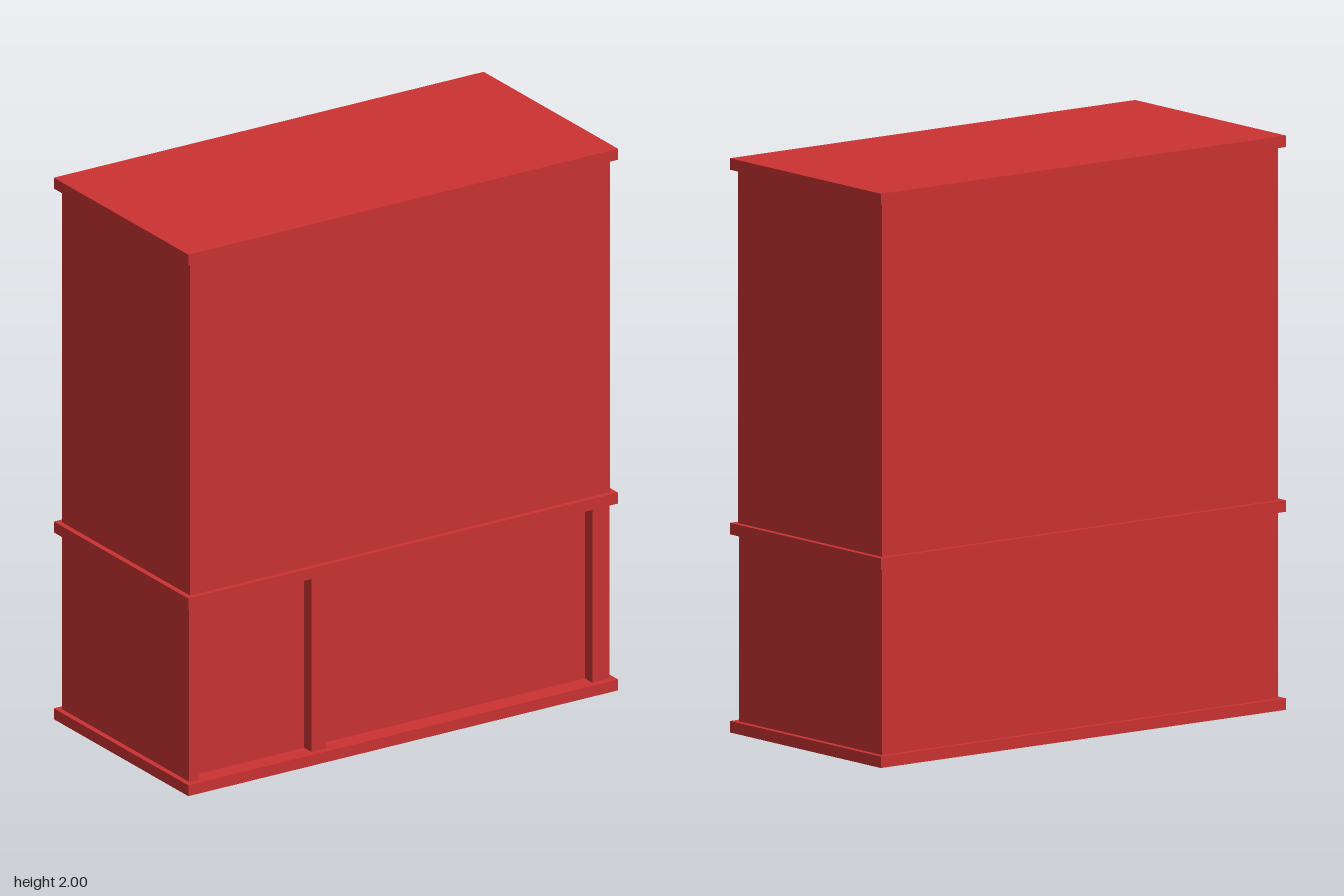
import * as THREE from 'three';

export function createModel() {
  const model = new THREE.Group();
  model.name = 'building';
  const red = new THREE.MeshStandardMaterial({ color: 0xcc3333 });
  red.name = 'red';

  // Box given by its extents on each axis
  function block(name, [x0, x1], [y0, y1], [z0, z1]) {
    const mesh = new THREE.Mesh(new THREE.BoxGeometry(x1 - x0, y1 - y0, z1 - z0), red);
    mesh.position.set((x0 + x1) / 2, (y0 + y1) / 2, (z0 + z1) / 2);
    mesh.name = name;
    model.add(mesh);
  }

  // Overhanging slabs
  const slabs = { baseSlab: 0, middleLedge: 0.69, roofSlab: 1.96 };
  for (const [name, y] of Object.entries(slabs)) {
    block(name, [-0.88, 0.88], [y, y + 0.04], [-0.42, 0.42]);
  }

  // Upper storeys, and the ground floor with its front wall set back
  block('upperBody', [-0.86, 0.86], [0.73, 1.96], [-0.4, 0.4]);
  block('groundFloor', [-0.86, 0.86], [0.04, 0.69], [-0.4, 0.35]);

  // Pillars framing the recessed front
  const pillars = { rightPillar: [-0.86, -0.82], middlePillar: [-0.36, -0.3], leftPillar: [0.79, 0.86] };
  for (const [name, x] of Object.entries(pillars)) {
    block(name, x, [0.04, 0.69], [0.35, 0.395]);
  }
  return model;
}
